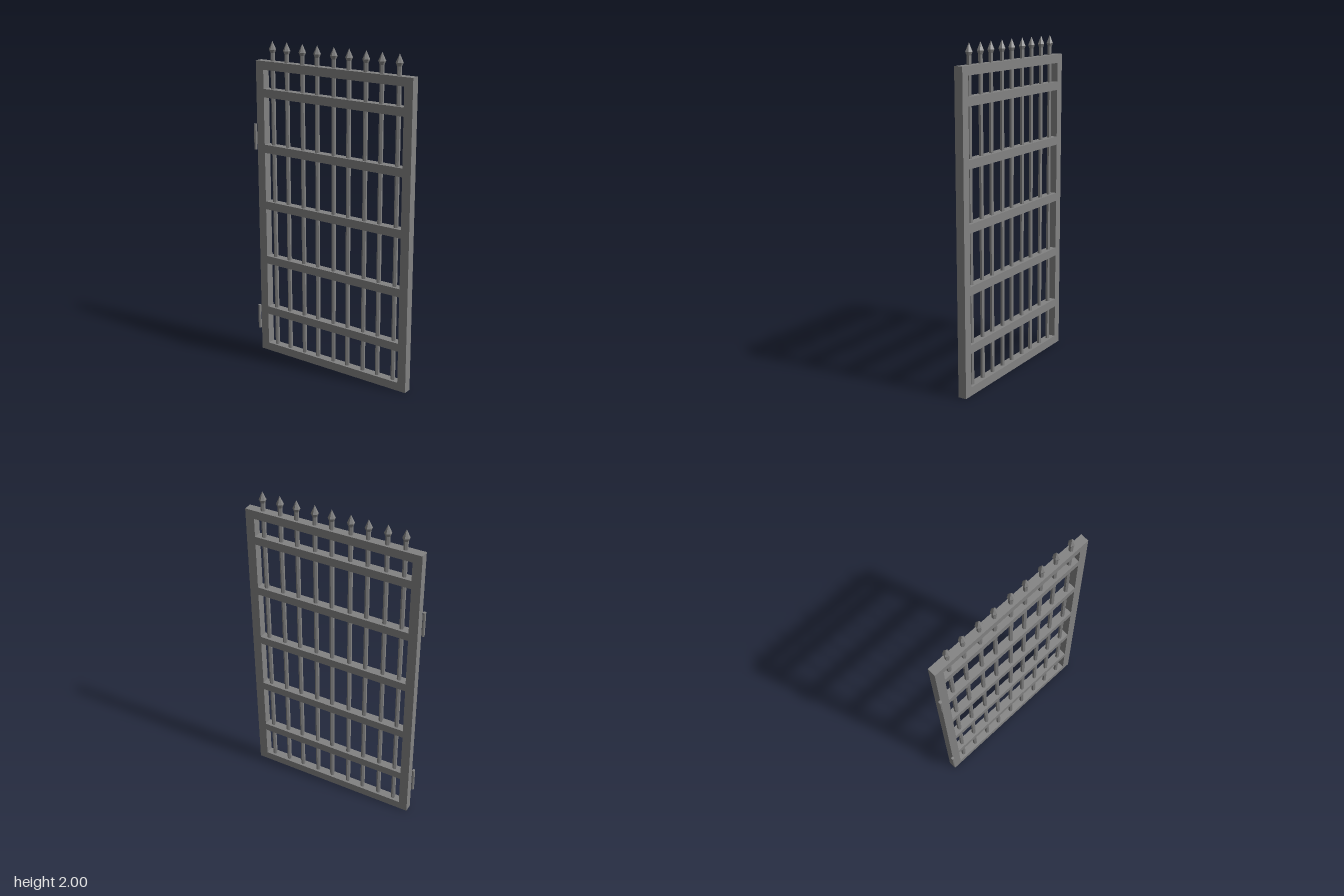
import * as THREE from 'three';

export function createModel() {
  const gate = new THREE.Group();
  gate.name = 'gate';
  const material = new THREE.MeshStandardMaterial({ color: 0x828282, flatShading: true });
  const add = (name, geometry, x, y, z) => {
    const mesh = new THREE.Mesh(geometry, material);
    mesh.name = name;
    mesh.position.set(x, y, z);
    gate.add(mesh);
  };

  const left = -0.533, right = 0.549, height = 1.88;
  const thick = 0.052, stile = 0.055;
  const midX = (left + right) / 2, midZ = -0.01;

  // Outer frame: rectangle with a rectangular opening
  const rect = (Type, x0, y0, x1, y1) => new Type([
    new THREE.Vector2(x0, y0), new THREE.Vector2(x1, y0),
    new THREE.Vector2(x1, y1), new THREE.Vector2(x0, y1),
  ]);
  const outline = rect(THREE.Shape, left, 0, right, height);
  outline.holes.push(rect(THREE.Path, left + stile, thick, right - stile, height - thick));
  add('frame', new THREE.ExtrudeGeometry(outline, { depth: thick, bevelEnabled: false }),
    0, 0, midZ - thick / 2);

  // Horizontal rails
  const railWidth = right - left - 2 * stile;
  for (const y of [0.281, 0.626, 0.986, 1.346, 1.688]) {
    add('rail', new THREE.BoxGeometry(railWidth, 0.051, thick), midX, y, midZ);
  }

  // Hexagonal upright bars and their pointed finials
  const barRadius = 0.0137, barBottom = 0.04, barTop = 1.932;
  const finial = [[barRadius, 1.93], [0.022, 1.95], [0, 2]].map(([r, y]) => new THREE.Vector2(r, y));
  for (const x of [-0.425, -0.32, -0.207, -0.102, 0.014, 0.118, 0.232, 0.336, 0.447]) {
    add('bar', new THREE.CylinderGeometry(barRadius, barRadius, barTop - barBottom, 6),
      x, (barBottom + barTop) / 2, midZ);
    add('finial', new THREE.LatheGeometry(finial, 6), x, 0, midZ);
  }

  // Hinge barrels on the front corner of the side stile
  for (const y of [0.228, 1.416]) {
    add('hinge', new THREE.CylinderGeometry(0.01, 0.01, 0.158, 8), -0.54, y, 0.025);
  }
  return gate;
}
